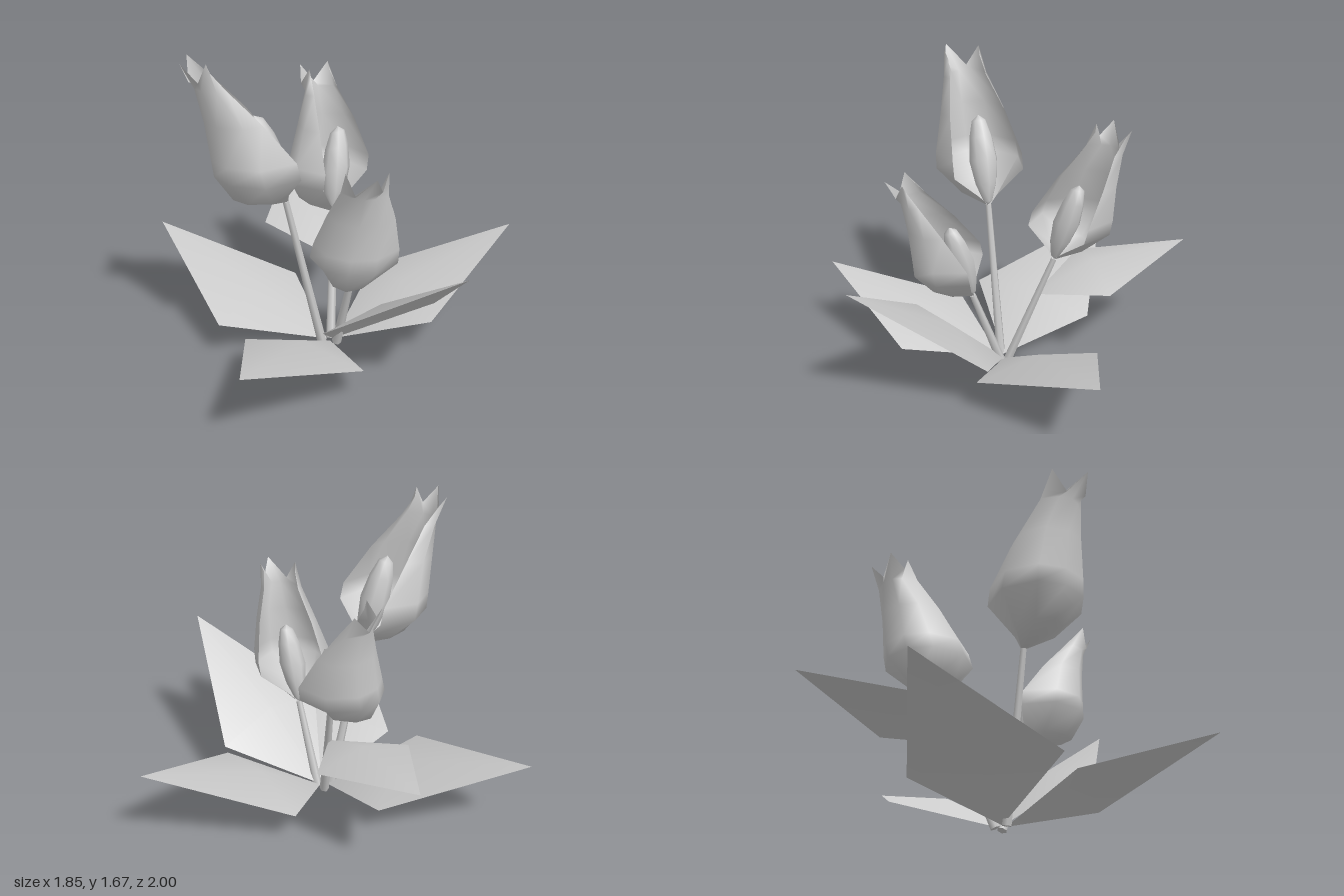
import * as THREE from 'three';

const material = new THREE.MeshStandardMaterial({ color: 0xcccccc, side: THREE.DoubleSide });
const V = (a) => new THREE.Vector3(...a);

function addMesh(parent, geometry, name) {
  const mesh = new THREE.Mesh(geometry, material);
  mesh.name = name;
  parent.add(mesh);
}

function indexedGeometry(points, index) {
  const geometry = new THREE.BufferGeometry();
  geometry.setAttribute('position', new THREE.Float32BufferAttribute(points.flat(), 3));
  geometry.setIndex(index);
  return geometry;
}

// Mirrored cross-section of the petal cup, open towards +x: [x, z] from open edge to back
function level(y, ...half) {
  const points = half.map(([x, z]) => [x, y, z]);
  const mirrored = points.slice(0, 3).reverse().map(([x, , z]) => [x, y, -z]);
  return [...points, ...mirrored];
}

const cupRows = [
  level(0, [0.012, 0.005], [0, 0.012], [-0.01, 0.008], [-0.015, 0]),
  level(0.05, [0, 0.05], [-0.1, 0.12], [-0.22, 0.08], [-0.27, 0]),
  level(0.19, [0.02, 0.2], [-0.17, 0.243], [-0.32, 0.14], [-0.36, 0]),
  level(0.28, [0, 0.2], [-0.19, 0.235], [-0.33, 0.135], [-0.37, 0]),
  level(0.48, [-0.15, 0.16], [-0.25, 0.182], [-0.36, 0.11], [-0.395, 0.01]),
  level(0.65, [-0.3, 0.105], [-0.35, 0.125], [-0.41, 0.06], [-0.43, 0.01]),
  // Three pointed tips with notches between them
  [[-0.37, 0.74, 0.09], [-0.39, 0.79, 0.105], [-0.43, 0.7, 0.095], [-0.5, 0.79, 0.06],
    [-0.445, 0.67, -0.035], [-0.43, 0.785, -0.11], [-0.39, 0.74, -0.1]],
];

function petalCup() {
  const index = [];
  const cols = cupRows[0].length;
  for (let r = 1; r < cupRows.length; r++) {
    for (let c = 0; c < cols - 1; c++) {
      const a = (r - 1) * cols + c, b = a + cols;
      index.push(a, a + 1, b, a + 1, b + 1, b);
    }
  }
  return indexedGeometry(cupRows.flat(), index);
}

// Teardrop bud in the opening, leaning with the stem
function innerBud() {
  const profile = [[0, 0], [0.025, 0.02], [0.06, 0.12], [0.08, 0.25], [0.065, 0.38], [0.04, 0.47], [0, 0.5]];
  const geometry = new THREE.LatheGeometry(profile.map(([r, y]) => new THREE.Vector2(r, y)), 8);
  return geometry.rotateZ(0.3);
}

// Tapered stem between two points
function stem(from, to) {
  const axis = V(to).sub(V(from));
  const length = axis.length();
  const geometry = new THREE.CylinderGeometry(0.017, 0.026, length, 6).translate(0, length / 2, 0);
  geometry.applyQuaternion(new THREE.Quaternion().setFromUnitVectors(V([0, 1, 0]), axis.normalize()));
  return geometry.translate(...from);
}

// Kite-shaped leaf, its midrib raised between the side corners
function leafBlade(base, right, tip, left) {
  const middle = right.map((v, i) => (v + left[i]) / 2);
  middle[1] += 0.08;
  const geometry = indexedGeometry([base, right, tip, left, middle], [0, 1, 4, 1, 2, 4, 2, 3, 4, 3, 0, 4]);
  geometry.computeVertexNormals();
  return geometry;
}

export function createModel() {
  const model = new THREE.Group();
  model.name = 'tulips';

  // Flowers: stem root, flower base, turn about y, size, extra sideways lean per unit height
  const flowers = [
    { name: 'left', root: [-0.25, 0, 0.065], base: [-0.43, 0.87, 0.06], turn: 0, size: 1, lean: [0, 0] },
    { name: 'front', root: [-0.175, 0, 0.09], base: [-0.15, 0.48, 0.26], turn: Math.PI / 3, size: 0.91, lean: [0.19, 0.02] },
    { name: 'back', root: [-0.19, 0, 0.04], base: [-0.08, 0.65, -0.19], turn: -Math.PI / 3, size: 0.93, lean: [0.31, 0.02] },
  ];
  for (const { name, root, base, turn, size, lean } of flowers) {
    const flower = new THREE.Group();
    flower.name = name + 'Flower';
    model.add(flower);
    const place = new THREE.Matrix4().makeBasis(V([1, 0, 0]), V([lean[0], 1, lean[1]]), V([0, 0, 1]));
    place.setPosition(...base);
    place.multiply(new THREE.Matrix4().makeRotationY(turn));
    place.scale(V([size, size, size]));
    const cup = petalCup().applyMatrix4(place);
    cup.computeVertexNormals();
    addMesh(flower, cup, 'petals');
    addMesh(flower, innerBud().applyMatrix4(place), 'innerBud');
    addMesh(flower, stem(root, base), 'stem');
  }

  // Leaves: base, right corner, tip, left corner
  const leaves = {
    rightLeaf: [[-0.18, 0.01, 0.07], [0.21, 0.18, -0.33], [0.92, 0.475, 0], [0.25, 0.19, 0.385]],
    frontLeaf: [[-0.19, 0.01, 0.07], [0.29, 0.27, 0.335], [0.13, 0.78, 1], [-0.4, 0.34, 0.51]],
    leftFrontLeaf: [[-0.21, 0.01, 0.09], [-0.24, 0.17, 0.65], [-0.92, 0.43, 0.87], [-0.7, 0.17, 0.15]],
    leftBackLeaf: [[-0.22, 0.01, 0.06], [-0.8, 0.19, 0], [-0.9, 0.43, -0.86], [-0.22, 0.15, -0.47]],
    backLeaf: [[-0.13, 0.42, -0.1], [-0.39, 0.51, -0.47], [-0.08, 0.62, -1], [0.14, 0.48, -0.43]],
  };
  for (const [name, corners] of Object.entries(leaves)) addMesh(model, leafBlade(...corners), name);

  return model;
}
